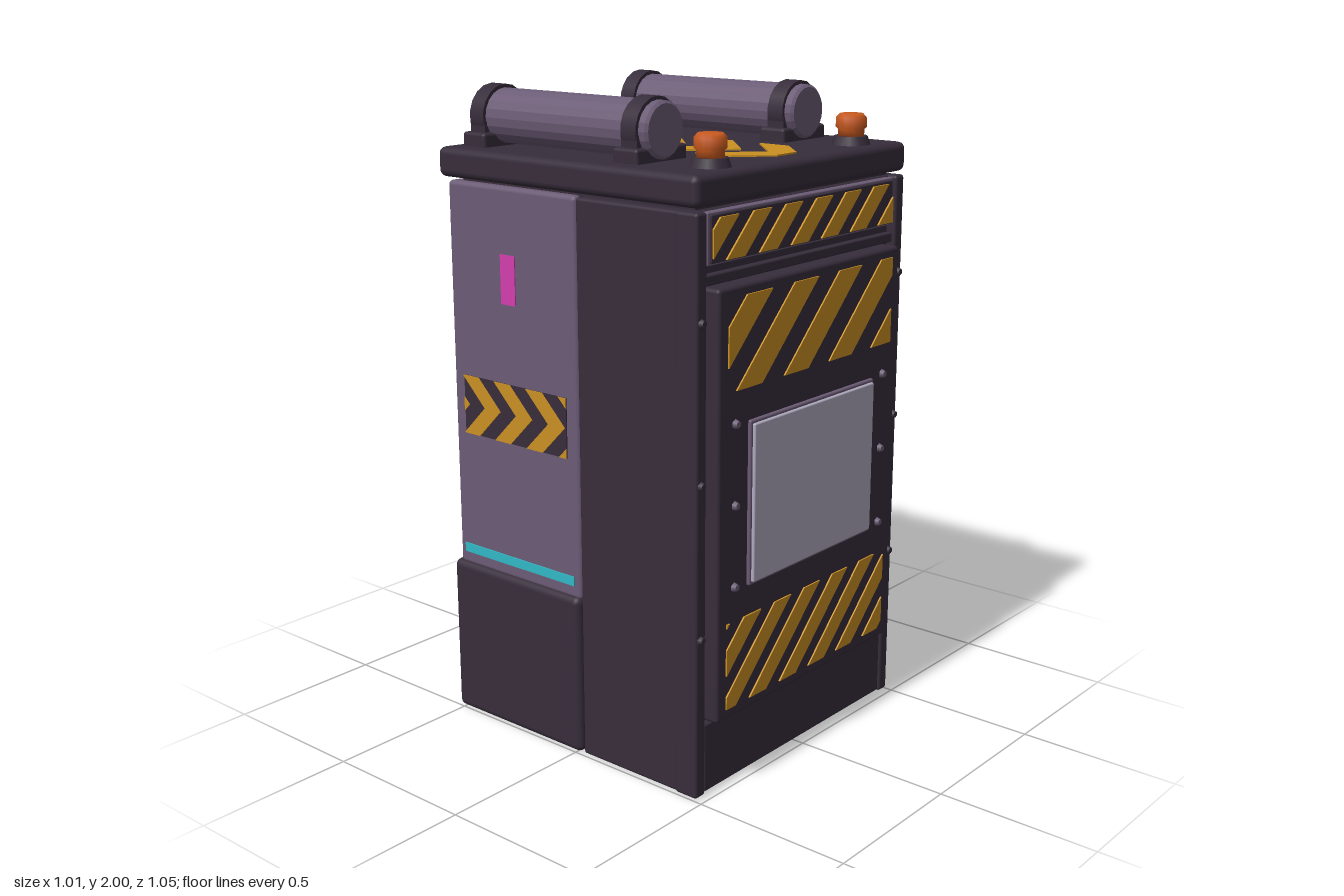
import * as THREE from 'three';
import { RoundedBoxGeometry } from 'three/addons/geometries/RoundedBoxGeometry.js';

const mat = (name, color) => Object.assign(new THREE.MeshStandardMaterial({ color }), { name });

// Clip a convex polygon of [x, y] points to the rectangle x0..x1, y0..y1
function clip(poly, x0, y0, x1, y1) {
  for (const [axis, limit, sign] of [[0, x0, 1], [0, x1, -1], [1, y0, 1], [1, y1, -1]]) {
    const out = [];
    poly.forEach((b, i) => {
      const a = poly[(i + poly.length - 1) % poly.length];
      const da = (a[axis] - limit) * sign, db = (b[axis] - limit) * sign;
      if (da * db < 0) {
        const t = da / (da - db);
        out.push([a[0] + (b[0] - a[0]) * t, a[1] + (b[1] - a[1]) * t]);
      }
      if (db >= 0) out.push(b);
    });
    poly = out;
  }
  return poly;
}

// Thin plate cut from a list of polygons, lying in xy and raised towards +z
function plates(polys, depth = 0.006) {
  const shapes = polys.filter(p => p.length > 2)
    .map(p => new THREE.Shape(p.map(([x, y]) => new THREE.Vector2(x, y))));
  return new THREE.ExtrudeGeometry(shapes, { depth, bevelEnabled: false });
}

// Diagonal hazard stripes filling a rectangle
function stripes(x0, y0, x1, y1, period, width, offset = 0) {
  const h = y1 - y0, polys = [];
  for (let x = x0 - h - period + offset; x < x1; x += period)
    polys.push(clip([[x, y0], [x + width, y0], [x + width + h, y1], [x + h, y1]], x0, y0, x1, y1));
  return polys;
}

export function createModel() {
  const model = new THREE.Group();
  model.name = 'machineCabinet';
  const dark = mat('darkPlum', 0x372d3b), lilac = mat('lilacMetal', 0x6c5c76);
  const yellow = mat('hazardYellow', 0xca9023), glass = mat('paleWindow', 0xb0abc0);
  const orange = mat('lampOrange', 0xc95a20), cyan = mat('cyanStrip', 0x30b8c6);
  const pink = mat('pinkMarker', 0xd23fae), tan = mat('tanPlate', 0xcdb67f);

  const add = (name, geometry, material, x = 0, y = 0, z = 0) => {
    const m = new THREE.Mesh(geometry, material);
    m.name = name;
    m.position.set(x, y, z);
    model.add(m);
    return m;
  };
  // Box given by its limits on each axis, with optional softened edges
  const box = (name, material, [x0, x1], [y0, y1], [z0, z1], r = 0) => {
    const s = [x1 - x0, y1 - y0, z1 - z0];
    const g = r ? new RoundedBoxGeometry(...s, 2, r) : new THREE.BoxGeometry(...s);
    return add(name, g, material, (x0 + x1) / 2, (y0 + y1) / 2, (z0 + z1) / 2);
  };

  // Main volumes
  box('frontBody', dark, [-0.495, 0.495], [0.005, 1.72], [0.03, 0.45], 0.01);
  box('rearBase', dark, [-0.5, 0.5], [0, 0.51], [-0.525, 0.02], 0.022);
  box('rearHousing', lilac, [-0.485, 0.485], [0.5, 1.72], [-0.505, 0.02], 0.014);
  box('core', dark, [-0.46, 0.46], [0.02, 1.75], [-0.46, 0.44]);
  box('lid', dark, [-0.505, 0.505], [1.73, 1.82], [-0.525, 0.482], 0.022);

  // Front frame: side rails, kick panel, slot surround
  for (const s of [-1, 1]) {
    const xs = [0.455 * s, 0.5 * s].sort((a, b) => a - b);
    box('sideRail', dark, xs, [0.005, 1.72], [0.4, 0.48], 0.01);
  }
  box('kickPanel', dark, [-0.455, 0.455], [0.01, 0.225], [0.43, 0.475], 0.006);
  box('slotLedge', dark, [-0.455, 0.455], [1.515, 1.545], [0.43, 0.472], 0.005);
  box('headerFrame', lilac, [-0.448, 0.448], [1.57, 1.715], [0.43, 0.473], 0.004);
  box('headerPanel', dark, [-0.438, 0.438], [1.576, 1.708], [0.46, 0.479], 0.003);
  add('headerStripes', plates(stripes(-0.435, 1.58, 0.435, 1.7, 0.147, 0.08, 0.03)), yellow, 0, 0, 0.479);

  // Door with window and hazard panels
  box('door', dark, [-0.44, 0.44], [0.23, 1.51], [0.43, 0.508], 0.012);
  add('upperDoorStripes', plates(stripes(-0.4, 1.215, 0.4, 1.48, 0.22, 0.115, 0.08)), yellow, 0, 0, 0.507);
  add('lowerDoorStripes', plates(stripes(-0.4, 0.265, 0.4, 0.53, 0.147, 0.08, 0.08)), yellow, 0, 0, 0.507);
  box('windowFrame', lilac, [-0.307, 0.307], [0.622, 1.118], [0.49, 0.518], 0.006);
  box('window', glass, [-0.298, 0.298], [0.632, 1.108], [0.5, 0.527], 0.005);

  // Bolts on the door and the rails
  const bolt = new THREE.CylinderGeometry(0.01, 0.015, 0.014, 6).rotateX(Math.PI / 2);
  for (const s of [-1, 1]) {
    for (const y of [0.635, 0.88, 1.12]) add('doorBolt', bolt, lilac, 0.365 * s, y, 0.514);
    for (const y of [0.5, 0.96, 1.42]) add('railBolt', bolt, dark, 0.48 * s, y, 0.484);
  }

  // Side decals: chevron band, marker and light strip on each flank
  const chevron = (tip, half, thick, slope, limits) => [1, -1].map(s =>
    clip([[tip, 0], [tip + thick, 0], [tip + thick + half * slope, s * half], [tip + half * slope, s * half]], ...limits));
  for (const s of [-1, 1]) {
    const side = (name, polys, material, raise) => {
      // Local x runs towards the back of the model
      const g = plates(polys.map(p => p.map(([x, y]) => [x * s, y])), 0.004);
      g.rotateY(s * Math.PI / 2);
      add(name, g, material, s * (0.484 + raise));
    };
    const rect = (x0, y0, x1, y1) => [[[x0, y0], [x1, y0], [x1, y1], [x0, y1]]];
    side('sideBand', rect(0.025, 0.94, 0.457, 1.125), dark, 0);
    const polys = [];
    for (let i = -1; i < 4; i++)
      polys.push(...chevron(0.03 + i * 0.135, 0.0925, 0.068, 1, [0.025, -0.0925, 0.457, 0.0925])
        .map(p => p.map(([x, y]) => [x, y + 1.0325])));
    side('sideChevrons', polys, yellow, 0.003);
    side('sideMarker', rect(0.225, 1.37, 0.285, 1.52), pink, 0);
    side('lightStrip', rect(0.005, 0.543, 0.478, 0.572), cyan, 0.001);
  }

  // Roof chevrons pointing to the front
  const roof = [];
  for (let i = -1; i < 4; i++) {
    const tip = -0.19 + 0.2117 * i;
    for (const s of [-1, 1])
      roof.push(clip([[0, -tip], [0, 0.11 - tip], [0.15 * s, 0.26 - tip], [0.15 * s, 0.15 - tip]], -0.15, -0.4, 0.15, 0.45));
  }
  add('roofChevrons', plates(roof).rotateX(-Math.PI / 2), yellow, 0, 1.819, 0);
  box('roofPlate', tan, [-0.06, 0.06], [1.815, 1.845], [-0.5, -0.472], 0.004);

  // Roof tanks with clamps, and warning lamps
  const tankProfile = [[0, -0.352], [0.07, -0.352], [0.082, -0.34], [0.082, 0.34], [0.07, 0.352], [0, 0.352]]
    .map(([x, y]) => new THREE.Vector2(x, y));
  const tank = new THREE.ExtrudeGeometry(
    new THREE.Shape().absarc(0, 0, 0.074, 0, Math.PI * 2),
    { depth: 0.69, bevelSize: 0.008, bevelThickness: 0.008, bevelSegments: 1, curveSegments: 10 }).translate(0, 0, -0.345);
  const band = new THREE.CylinderGeometry(0.093, 0.093, 0.056, 18).rotateX(Math.PI / 2);
  for (const s of [-1, 1]) {
    const x = 0.335 * s;
    add('tank', tank, lilac, x, 1.907, -0.123);
    for (const z of [0.172, -0.43]) {
      add('tankBand', band, dark, x, 1.907, z);
      box('clampFoot', dark, [x - 0.108, x + 0.108], [1.81, 1.862], [z - 0.047, z + 0.047], 0.01);
      box('clampSaddle', dark, [x - 0.088, x + 0.088], [1.82, 1.895], [z - 0.03, z + 0.03]);
    }
    add('lampBase', new THREE.CylinderGeometry(0.05, 0.06, 0.028, 12), dark, x, 1.832, 0.39);
    const lamp = [[0, 1.84], [0.04, 1.84], [0.04, 1.866], [0.047, 1.872], [0.047, 1.9], [0.036, 1.912], [0, 1.912]]
      .map(([r, y]) => new THREE.Vector2(r, y));
    add('warningLamp', new THREE.LatheGeometry(lamp, 14), orange, x, 0, 0.39);
  }
  return model;
}
